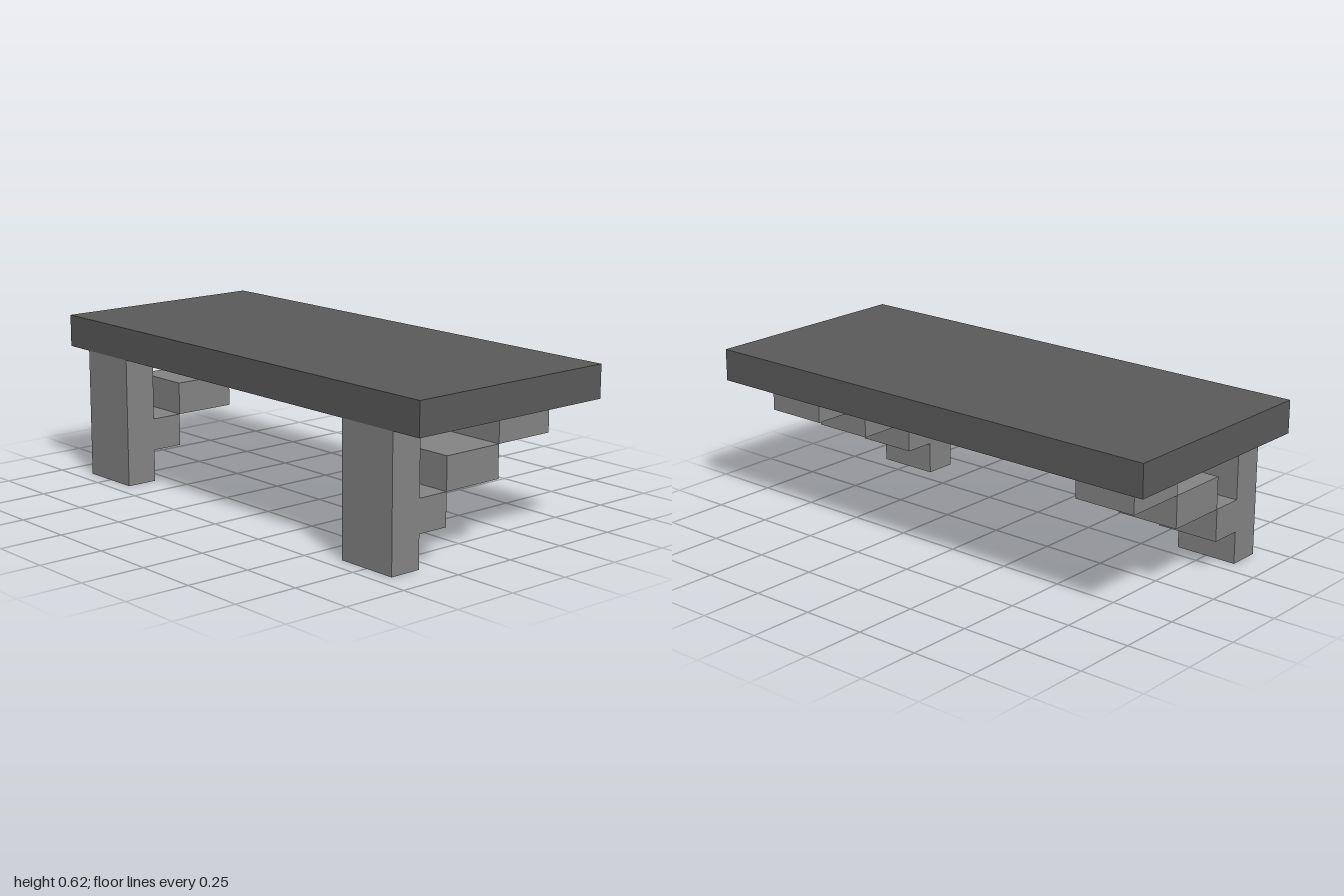
import * as THREE from 'three';

const slabMaterial = new THREE.MeshStandardMaterial({ color: 0x5a5a5a });
slabMaterial.name = 'dark grey';
const supportMaterial = new THREE.MeshStandardMaterial({ color: 0x848484 });
supportMaterial.name = 'mid grey';

// Box given by its limits on each axis
function block(name, material, [x0, x1], [y0, y1], [z0, z1]) {
  const mesh = new THREE.Mesh(new THREE.BoxGeometry(x1 - x0, y1 - y0, z1 - z0), material);
  mesh.position.set((x0 + x1) / 2, (y0 + y1) / 2, (z0 + z1) / 2);
  mesh.name = name;
  return mesh;
}

// Front leg with a stepped brace climbing back to the underside of the slab
function createSupport(name) {
  const support = new THREE.Group();
  support.name = name;
  const width = [-0.125, 0.125];
  support.add(
    block('leg', supportMaterial, width, [0, 0.5], [0.3125, 0.4375]),
    block('lowerBrace', supportMaterial, width, [0.125, 0.25], [0.1875, 0.3125]),
    block('middleBrace', supportMaterial, width, [0.25, 0.375], [-0.0625, 0.1875]),
    block('upperBrace', supportMaterial, width, [0.375, 0.5], [-0.3125, -0.0625])
  );
  return support;
}

export function createModel() {
  const table = new THREE.Group();
  table.name = 'table';
  table.add(block('tabletop', slabMaterial, [-1, 1], [0.5, 0.625], [-0.4375, 0.4375]));
  for (const [name, x] of [['leftSupport', 0.75], ['rightSupport', -0.75]]) {
    const support = createSupport(name);
    support.position.x = x;
    table.add(support);
  }
  return table;
}
